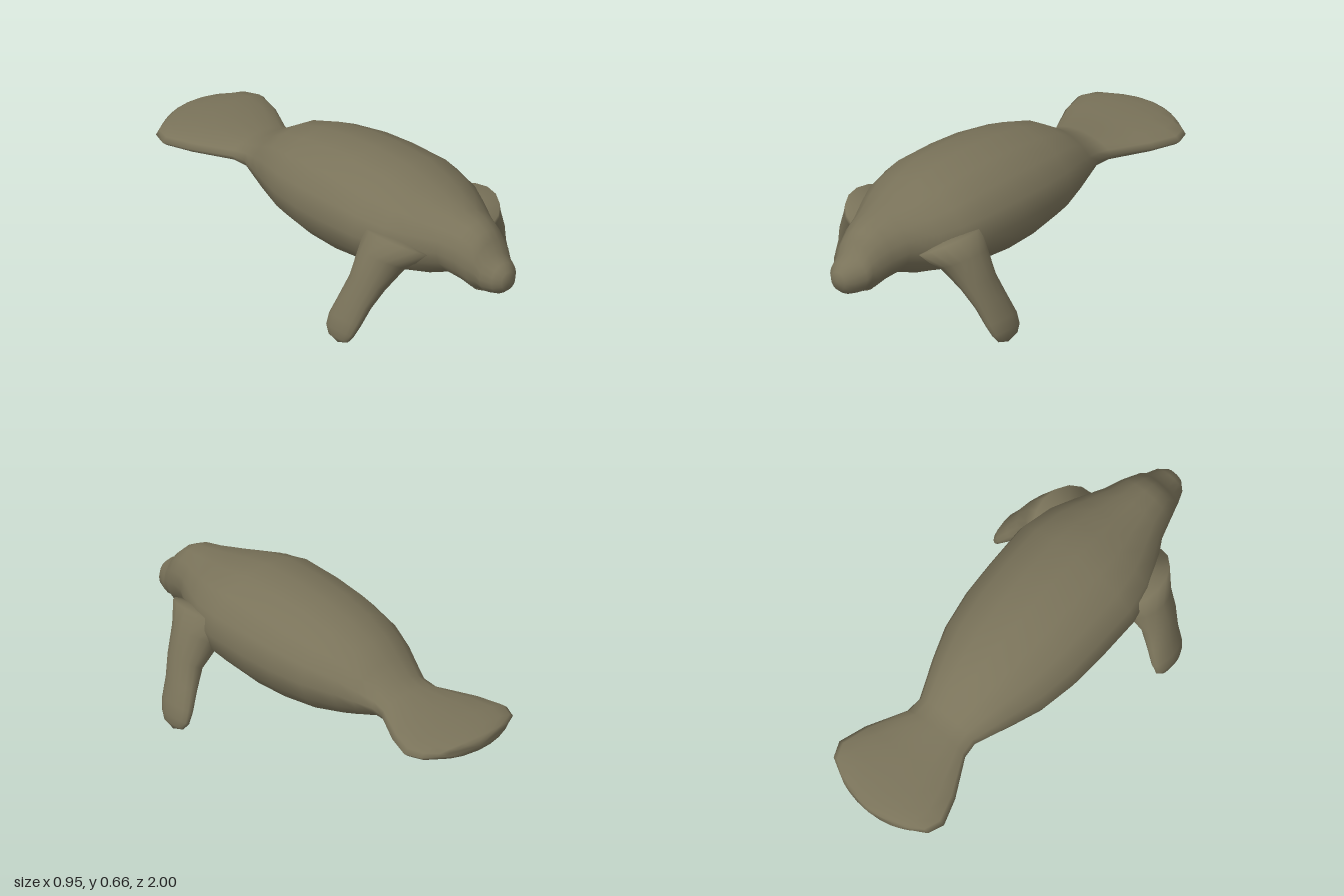
import * as THREE from 'three';

const SIDES = 16;

// Skins a list of rings (arrays of points) and closes both ends with a centre point.
function loft(rings, startTip, endTip) {
  const pos = [], index = [];
  rings.forEach(ring => ring.forEach(p => pos.push(...p)));
  for (let i = 0; i < rings.length - 1; i++) {
    for (let j = 0; j < SIDES; j++) {
      const k = (j + 1) % SIDES;
      const a = i * SIDES + j, b = i * SIDES + k, c = a + SIDES, d = b + SIDES;
      index.push(a, c, b, b, c, d);
    }
  }
  const start = pos.length / 3, end = start + 1, last = (rings.length - 1) * SIDES;
  pos.push(...startTip, ...endTip);
  for (let j = 0; j < SIDES; j++) {
    const k = (j + 1) % SIDES;
    index.push(start, j, k, end, last + k, last + j);
  }
  const geo = new THREE.BufferGeometry();
  geo.setAttribute('position', new THREE.Float32BufferAttribute(pos, 3));
  geo.setIndex(index);
  geo.computeVertexNormals();
  return geo;
}

const ring = fn => Array.from({ length: SIDES }, (_, j) => {
  const a = (j / SIDES) * Math.PI * 2;
  return fn(Math.cos(a), Math.sin(a));
});

// Head, trunk and paddle tail: z, half width, bottom y, top y, forward bow of the sides
function bodyGeometry() {
  const sections = [
    [0.99, 0.04, 0.305, 0.39], [0.96, 0.072, 0.28, 0.42], [0.91, 0.094, 0.268, 0.445],
    [0.885, 0.105, 0.27, 0.495], [0.85, 0.118, 0.257, 0.53], [0.8, 0.137, 0.278, 0.555],
    [0.72, 0.165, 0.297, 0.57], [0.6, 0.235, 0.25, 0.6], [0.5, 0.285, 0.228, 0.625],
    [0.36, 0.318, 0.203, 0.655], [0.16, 0.315, 0.18, 0.658], [0, 0.306, 0.185, 0.645],
    [-0.17, 0.276, 0.205, 0.615], [-0.31, 0.225, 0.24, 0.57], [-0.4, 0.187, 0.275, 0.512],
    [-0.48, 0.154, 0.308, 0.46], [-0.55, 0.16, 0.322, 0.437], [-0.72, 0.25, 0.325, 0.43],
    [-0.84, 0.29, 0.325, 0.424], [-0.92, 0.262, 0.332, 0.415, 0.01],
    [-0.98, 0.2, 0.338, 0.404, 0.035], [-0.995, 0.16, 0.35, 0.395, 0.028],
  ];
  const rings = sections.map(([z, w, lo, hi, bow = 0]) => ring((c, s) =>
    [w * c, (lo + hi) / 2 + s * (hi - lo) / 2, z + bow * c * c]));
  return loft(rings, [0, 0.35, 1], [0, 0.372, -1]);
}

// Flipper: centre x, y, z, thickness radius, front-to-back radius
function flipperGeometry(side) {
  const sections = [
    [0.19, 0.42, 0.52, 0.145, 0.165], [0.27, 0.36, 0.5, 0.105, 0.115],
    [0.345, 0.265, 0.487, 0.067, 0.092], [0.39, 0.18, 0.46, 0.05, 0.087],
    [0.43, 0.1, 0.44, 0.041, 0.089], [0.449, 0.05, 0.43, 0.031, 0.08],
    [0.459, 0.018, 0.43, 0.018, 0.058],
  ];
  const rings = sections.map(([x, y, z, t, r]) => ring((c, s) =>
    [side * (x + 0.87 * t * c), y + 0.48 * t * c, z - side * r * s]));
  return loft(rings, [side * 0.17, 0.44, 0.52], [side * 0.463, 0, 0.43]);
}

export function createModel() {
  const hide = new THREE.MeshStandardMaterial({ color: 0x7a735a });
  hide.name = 'grey brown hide';
  const model = new THREE.Group();
  model.name = 'seaCow';

  const add = (name, geo) => {
    const mesh = new THREE.Mesh(geo, hide);
    mesh.name = name;
    model.add(mesh);
    return mesh;
  };

  add('body', bodyGeometry());
  add('leftFlipper', flipperGeometry(1));
  add('rightFlipper', flipperGeometry(-1));

  // Small lower lip under the muzzle
  const lip = add('lowerLip', new THREE.SphereGeometry(1, 16, 10));
  lip.scale.set(0.06, 0.025, 0.05);
  lip.position.set(0, 0.28, 0.84);
  return model;
}
